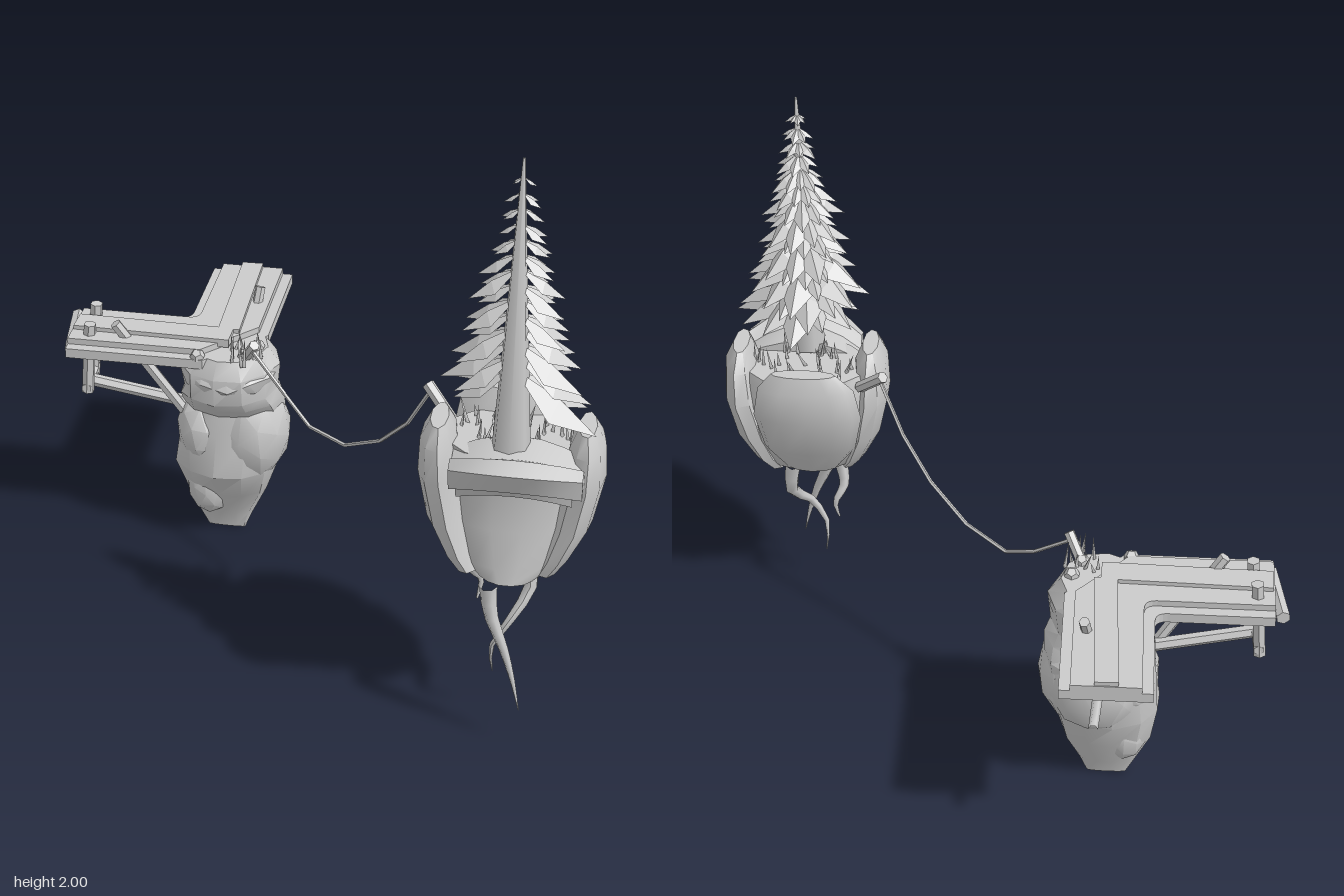
import * as THREE from 'three';
import { toCreasedNormals } from 'three/addons/utils/BufferGeometryUtils.js';

const grey = new THREE.MeshStandardMaterial({ color: 0xcccccc });
const greyThin = new THREE.MeshStandardMaterial({ color: 0xcccccc, side: THREE.DoubleSide });
const V = (x, y, z) => new THREE.Vector3(x, y, z);

let seed = 7;
const rand = () => (seed = (seed * 16807) % 2147483647) / 2147483647;

function add(group, name, geo, mat = grey) {
  const mesh = new THREE.Mesh(geo, mat);
  mesh.name = name;
  group.add(mesh);
  return mesh;
}

// Stack of closed rings, each given as [y, xMin, xMax, zMin, zMax]
function loft(rings, sides, jitter = 0, crease = 0.7) {
  const pos = [], idx = [], n = rings.length;
  for (const [y, x0, x1, z0, z1] of rings)
    for (let j = 0; j < sides; j++) {
      const a = (j / sides) * Math.PI * 2, k = 1 + jitter * (rand() - 0.6);
      pos.push((x0 + x1) / 2 + ((x1 - x0) / 2) * Math.cos(a) * k, y, (z0 + z1) / 2 + ((z1 - z0) / 2) * Math.sin(a) * k);
    }
  for (let i = 0; i < n - 1; i++)
    for (let j = 0; j < sides; j++) {
      const a = i * sides + j, b = i * sides + ((j + 1) % sides);
      idx.push(b, a, a + sides, b, a + sides, b + sides);
    }
  const cap = (r, up) => {
    const [y, x0, x1, z0, z1] = rings[r], c = pos.length / 3;
    pos.push((x0 + x1) / 2, y, (z0 + z1) / 2);
    for (let j = 0; j < sides; j++) {
      const a = r * sides + j, b = r * sides + ((j + 1) % sides);
      up ? idx.push(c, b, a) : idx.push(c, a, b);
    }
  };
  cap(0, false);
  cap(n - 1, true);
  const g = new THREE.BufferGeometry();
  g.setAttribute('position', new THREE.Float32BufferAttribute(pos, 3));
  g.setIndex(idx);
  return toCreasedNormals(g, crease);
}

// Faceted boulder
function boulder(group, center, size, turn) {
  const g = new THREE.IcosahedronGeometry(1, 1).rotateY(turn).rotateX(turn * 0.7);
  g.scale(...size).translate(...center);
  add(group, 'boulder', toCreasedNormals(g, 0.55));
}

// Straight pole between two points
function pole(group, name, a, b, r, sides = 6) {
  const d = b.clone().sub(a);
  const g = toCreasedNormals(new THREE.CylinderGeometry(r, r, d.length(), sides), 0.5);
  const m = add(group, name, g);
  m.position.copy(a).add(b).multiplyScalar(0.5);
  m.quaternion.setFromUnitVectors(V(0, 1, 0), d.normalize());
}

// Tube that thins toward its end
function taperTube(points, r, end, sides = 6, segs = 8) {
  const curve = new THREE.CatmullRomCurve3(points);
  const g = new THREE.TubeGeometry(curve, segs, r, sides);
  const p = g.attributes.position, v = V(0, 0, 0);
  for (let i = 0; i < p.count; i++) {
    const t = Math.floor(i / (sides + 1)) / segs, c = curve.getPointAt(t);
    v.fromBufferAttribute(p, i).sub(c).multiplyScalar(1 + (end - 1) * t).add(c);
    p.setXYZ(i, v.x, v.y, v.z);
  }
  g.computeVertexNormals();
  return g;
}

// L-shaped deck, inset from the full outline
function deck(d, y0, y1) {
  const s = new THREE.Shape();
  s.moveTo(-0.92, 0.17 + d);
  s.lineTo(-0.44 - d * 0.4, 0.17 + d);
  s.lineTo(-0.25 - d, 0.38 + d * 0.4);
  s.lineTo(-0.25 - d, 0.84);
  s.lineTo(-0.54 + d, 0.84);
  s.lineTo(-0.54 + d, 0.5 - d);
  s.quadraticCurveTo(-0.54 + d, 0.46 - d, -0.58 + d, 0.46 - d);
  s.lineTo(-0.92, 0.46 - d);
  return new THREE.ExtrudeGeometry(s, { depth: y1 - y0, bevelEnabled: false, curveSegments: 5 })
    .rotateX(-Math.PI / 2).translate(0, y0, 0);
}

// Overhanging lip: [z, y] profile swept along x, shrinking and drooping toward both ends
function lip(profile, x0, x1) {
  const s = new THREE.Shape(profile.map(([z, y]) => new THREE.Vector2(z, y)));
  const g = new THREE.ExtrudeGeometry(s, { depth: x1 - x0, steps: 6, bevelEnabled: false }).rotateY(-Math.PI / 2).translate(x1, 0, 0);
  const p = g.attributes.position;
  for (let i = 0; i < p.count; i++) {
    const u = (p.getX(i) - (x0 + x1) / 2) / ((x1 - x0) / 2);
    p.setY(i, p.getY(i) - 0.06 * u * u);
    p.setZ(i, 0.58 + (p.getZ(i) - 0.58) * (1 - 0.4 * u * u));
  }
  return toCreasedNormals(g, 0.5);
}

function grass(group, cx, y, cz, rx, rz, count) {
  for (let i = 0; i < count; i++) {
    const h = 0.05 + rand() * 0.06, a = rand() * 6.28, k = Math.sqrt(rand());
    const m = add(group, 'grassBlade', new THREE.ConeGeometry(0.008, h, 3));
    m.position.set(cx + rx * k * Math.cos(a), y + h / 2 - 0.01, cz + rz * k * Math.sin(a));
    m.rotation.set((rand() - 0.5) * 0.7, rand() * 3, (rand() - 0.5) * 0.7);
  }
}

function deckIsland() {
  const g = new THREE.Group();
  g.name = 'deckIsland';
  add(g, 'rock', loft([
    [0, -0.475, -0.335, -0.365, -0.35], [0.06, -0.505, -0.315, -0.385, -0.335],
    [0.18, -0.55, -0.25, -0.44, -0.27], [0.3, -0.575, -0.21, -0.48, -0.19],
    [0.46, -0.57, -0.19, -0.51, -0.2], [0.54, -0.56, -0.18, -0.51, -0.215],
    [0.59, -0.55, -0.19, -0.49, -0.17], [0.63, -0.54, -0.2, -0.48, -0.14],
    [0.73, -0.545, -0.2, -0.47, -0.13], [0.79, -0.5, -0.24, -0.45, -0.16]], 11, 0.1, 0.6));
  // Boulders bulging out of the column
  boulder(g, [-0.305, 0.44, -0.34], [0.14, 0.2, 0.145], 0.4);
  boulder(g, [-0.47, 0.44, -0.34], [0.1, 0.15, 0.14], 1.1);
  boulder(g, [-0.36, 0.44, -0.4], [0.16, 0.19, 0.13], 2);
  boulder(g, [-0.37, 0.7, -0.3], [0.175, 0.085, 0.17], 0.7);
  boulder(g, [-0.46, 0.2, -0.345], [0.085, 0.13, 0.095], 1.6);
  // Deck layers and loose boards
  add(g, 'deckBase', deck(0, 0.755, 0.79));
  add(g, 'deckTop', deck(0.035, 0.79, 0.812));
  const b1 = add(g, 'board', new THREE.BoxGeometry(0.55, 0.03, 0.085));
  b1.position.set(-0.64, 0.812, -0.308);
  b1.rotation.y = -0.02;
  const b2 = add(g, 'board', new THREE.BoxGeometry(0.075, 0.03, 0.5));
  b2.position.set(-0.388, 0.812, -0.587);
  b2.rotation.y = 0.03;
  // Posts and braces
  pole(g, 'crossBeam', V(-0.945, 0.775, -0.44), V(-0.91, 0.775, -0.21), 0.024);
  pole(g, 'post', V(-0.885, 0.57, -0.38), V(-0.86, 0.86, -0.38), 0.022);
  pole(g, 'post', V(-0.87, 0.58, -0.25), V(-0.85, 0.85, -0.25), 0.022);
  pole(g, 'lowerBeam', V(-0.88, 0.6, -0.4), V(-0.87, 0.6, -0.23), 0.018);
  pole(g, 'lowerBrace', V(-0.88, 0.6, -0.3), V(-0.52, 0.53, -0.32), 0.022);
  pole(g, 'brace', V(-0.76, 0.86, -0.25), V(-0.54, 0.51, -0.3), 0.02);
  pole(g, 'brace', V(-0.32, 0.86, -0.6), V(-0.36, 0.56, -0.48), 0.018);
  add(g, 'lowerBrace', taperTube([V(-0.38, 0.58, -0.45), V(-0.37, 0.61, -0.66), V(-0.36, 0.625, -0.83)], 0.018, 0.85));
  pole(g, 'stake', V(-0.31, 0.77, -0.23), V(-0.255, 0.87, -0.165), 0.018);
  for (const [x, z] of [[-0.46, -0.19], [-0.3, -0.22], [-0.27, -0.29]]) {
    const m = add(g, 'stone', new THREE.DodecahedronGeometry(0.026));
    m.position.set(x, 0.795, z);
  }
  grass(g, -0.31, 0.79, -0.22, 0.07, 0.06, 12);
  return g;
}

function treeIsland() {
  const g = new THREE.Group();
  g.name = 'treeIsland';
  add(g, 'rock', loft([
    [0.57, 0.6, 0.78, 0.51, 0.655], [0.62, 0.53, 0.85, 0.44, 0.645], [0.75, 0.47, 0.9, 0.38, 0.63],
    [0.9, 0.46, 0.91, 0.36, 0.62], [1.0, 0.46, 0.91, 0.36, 0.64], [1.03, 0.47, 0.9, 0.36, 0.67]], 14, 0.03, 0.8));
  // Rounded lobes on both sides and the back
  const side = [[0.59, 0.77, 0.845, 0.48, 0.62], [0.65, 0.79, 0.885, 0.44, 0.635], [0.76, 0.815, 0.94, 0.41, 0.64],
    [0.92, 0.84, 0.972, 0.38, 0.65], [1.04, 0.855, 0.965, 0.4, 0.65], [1.1, 0.88, 0.935, 0.45, 0.61]];
  add(g, 'leftLobe', loft(side, 9, 0.06, 0.8));
  add(g, 'rightLobe', loft(side.map(([y, a, b, c, d]) => [y, 1.37 - b, 1.37 - a, c + 0.02, d + 0.02]), 9, 0.06, 0.8));
  add(g, 'backLobe', loft([[0.63, 0.58, 0.77, 0.42, 0.52], [0.75, 0.51, 0.83, 0.35, 0.47], [0.92, 0.48, 0.85, 0.29, 0.41],
    [1.04, 0.5, 0.83, 0.29, 0.39], [1.1, 0.56, 0.78, 0.31, 0.365]], 12, 0.02, 0.8));
  // Overhanging front lip
  add(g, 'frontLip', lip([[0.58, 1.01], [0.72, 1.01], [0.79, 1.0], [0.83, 1.08], [0.76, 1.095], [0.7, 1.06], [0.58, 1.07]], 0.51, 0.91));
  add(g, 'lipRock', lip([[0.58, 0.97], [0.7, 0.97], [0.74, 0.955], [0.77, 1.02], [0.58, 1.04]], 0.53, 0.88));
  // Hanging roots
  add(g, 'root', taperTube([V(0.58, 0.6, 0.52), V(0.57, 0.52, 0.5), V(0.6, 0.46, 0.47), V(0.59, 0.39, 0.48)], 0.024, 0.15));
  add(g, 'root', taperTube([V(0.64, 0.57, 0.665), V(0.65, 0.48, 0.675), V(0.7, 0.35, 0.69), V(0.73, 0.25, 0.7), V(0.755, 0.14, 0.71)], 0.028, 0.05));
  add(g, 'root', taperTube([V(0.75, 0.6, 0.5), V(0.76, 0.48, 0.51), V(0.7, 0.38, 0.58), V(0.65, 0.28, 0.58), V(0.655, 0.17, 0.56)], 0.03, 0.05));
  pole(g, 'stake', V(0.49, 1.0, 0.42), V(0.4, 1.09, 0.355), 0.02);
  grass(g, 0.68, 1.03, 0.5, 0.18, 0.1, 30);
  // Pine trunk
  const trunk = add(g, 'trunk', new THREE.CylinderGeometry(0.004, 0.06, 0.96, 7));
  trunk.position.set(0.685, 1.52, 0.615);
  // Drooping folded boughs fanned around the back of the trunk
  const pos = [], tiers = 14;
  for (let t = 0; t < tiers; t++) {
    const y = 1.32 + (0.62 * t) / (tiers - 1), count = t < 10 ? 7 : 5;
    for (let i = 0; i < count; i++) {
      const a = -0.2 + ((i + (t % 2) * 0.5) / (count - 0.5)) * (Math.PI + 0.4);
      const L = (0.02 + 0.32 * (2 - y)) * (0.75 + 0.35 * rand()), w = L * 0.27;
      const P = (r, dy, s) => [0.685 + Math.cos(a) * r + Math.sin(a) * s, y + dy, 0.615 - Math.sin(a) * r + Math.cos(a) * s];
      const root = P(0, 0, 0), mid = P(L * 0.55, -L * 0.28, 0), tip = P(L, -L * 0.68, 0);
      const s1 = P(L * 0.5, -L * 0.46, w), s2 = P(L * 0.5, -L * 0.46, -w);
      pos.push(...root, ...s1, ...mid, ...mid, ...s1, ...tip, ...root, ...mid, ...s2, ...mid, ...tip, ...s2);
    }
  }
  const boughs = new THREE.BufferGeometry();
  boughs.setAttribute('position', new THREE.Float32BufferAttribute(pos, 3));
  boughs.computeVertexNormals();
  add(g, 'boughs', boughs, greyThin);
  return g;
}

export function createModel() {
  const model = new THREE.Group();
  model.name = 'floatingIslands';
  model.add(deckIsland(), treeIsland());
  // Sagging rope between the two stakes, in straight lengths
  const pts = [V(-0.26, 0.84, -0.17), V(-0.14, 0.73, -0.1), V(-0.04, 0.66, -0.02), V(0.1, 0.675, 0.1),
    V(0.23, 0.77, 0.205), V(0.33, 0.9, 0.29), V(0.41, 1.07, 0.36)];
  for (let i = 1; i < pts.length; i++) pole(model, 'rope', pts[i - 1], pts[i], 0.007, 5);
  return model;
}
